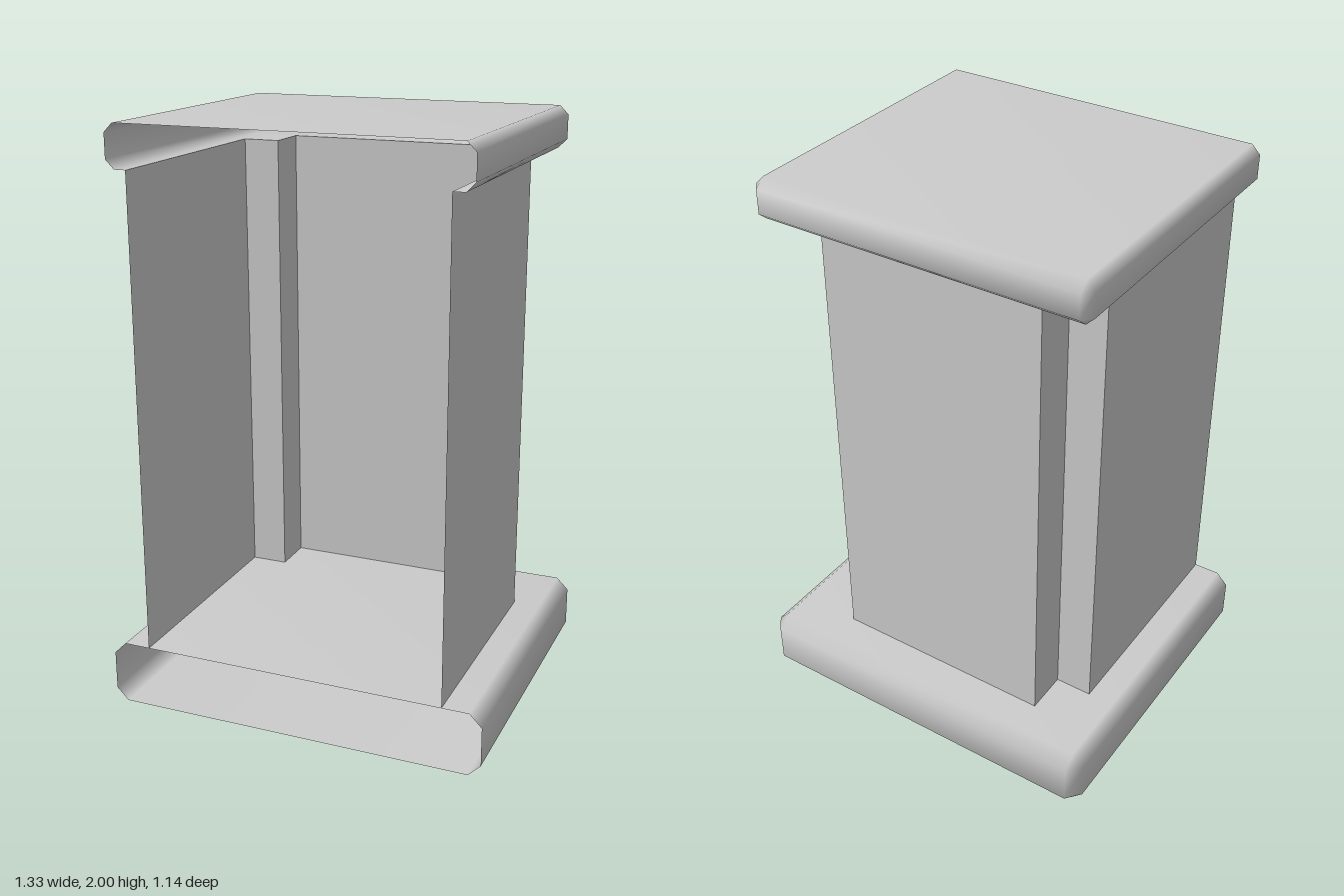
import * as THREE from 'three';
import { mergeGeometries, mergeVertices } from 'three/addons/utils/BufferGeometryUtils.js';

const FRONT = 0.57; // the pedestal is cut open at this plane
const Y_BASE = 0.22, Y_CAP = 1.857, Y_TOP = 2;

// Plan of the column walls as [x, z], notched at both back corners
const half = [[0.53, FRONT], [0.53, -0.255], [0.4, -0.255], [0.4, -0.408]];
const mirrorPath = (pts) => [...pts, ...pts.map(([x, z]) => [-x, z]).reverse()];
const wallPath = mirrorPath(half);

// Skin of quads through equal-length rings of [x, y, z]
function loft(rings) {
  const pos = [];
  for (let r = 0; r + 1 < rings.length; r++) {
    for (let i = 0; i + 1 < rings[r].length; i++) {
      const a = rings[r][i], b = rings[r][i + 1];
      const c = rings[r + 1][i + 1], d = rings[r + 1][i];
      pos.push(...a, ...b, ...c, ...a, ...c, ...d);
    }
  }
  const g = new THREE.BufferGeometry();
  g.setAttribute('position', new THREE.Float32BufferAttribute(pos, 3));
  return g;
}

// Horizontal polygon from [x, z] points, facing up or down
function plate(pts, y, up) {
  const s = up ? -1 : 1;
  const g = new THREE.ShapeGeometry(new THREE.Shape(pts.map(([x, z]) => new THREE.Vector2(x, s * z))));
  g.rotateX(s * Math.PI / 2).translate(0, y, 0);
  g.deleteAttribute('normal');
  g.deleteAttribute('uv');
  return g.toNonIndexed();
}

// Hollow slab with softly bevelled sides and back, open at the front
function slab(w, back, y0, y1, bevel, bevelZ, opening) {
  const outer = mirrorPath([[w, FRONT], [w, back + bevelZ], [w - bevel, back]]);
  const inner = mirrorPath([[w - bevel, FRONT], [w - bevel, back + bevelZ], [w - bevel, back + bevelZ]]);
  const rim = mirrorPath([[w - bevel, FRONT], [w - bevel, back + bevelZ]]);
  const at = (path, y) => path.map(([x, z]) => [x, y, z]);
  const sides = loft([at(inner, y0), at(outer, y0 + bevel), at(outer, y1 - bevel), at(inner, y1)]);
  const bottom = opening ? [...rim, ...[...opening].reverse()] : rim;
  const g = mergeVertices(mergeGeometries([sides, plate(rim, y1, true), plate(bottom, y0, false)]), 1e-4);
  g.computeVertexNormals();
  return g;
}

export function createModel() {
  const model = new THREE.Group();
  model.name = 'pedestal';
  const material = new THREE.MeshStandardMaterial({ color: 0xcccccc, side: THREE.DoubleSide });
  const add = (name, geometry) => {
    const mesh = new THREE.Mesh(geometry, material);
    mesh.name = name;
    model.add(mesh);
  };

  // Closed base slab
  add('base', slab(0.665, -0.57, 0, Y_BASE, 0.042, 0.05));

  // Thin flat column walls
  const walls = loft([Y_BASE, Y_CAP].map((y) => wallPath.map(([x, z]) => [x, y, z])));
  walls.computeVertexNormals();
  add('columnWalls', walls);

  // Top slab, its underside open above the column
  add('cap', slab(0.6, -0.493, Y_CAP, Y_TOP, 0.03, 0.036, wallPath));

  return model;
}
